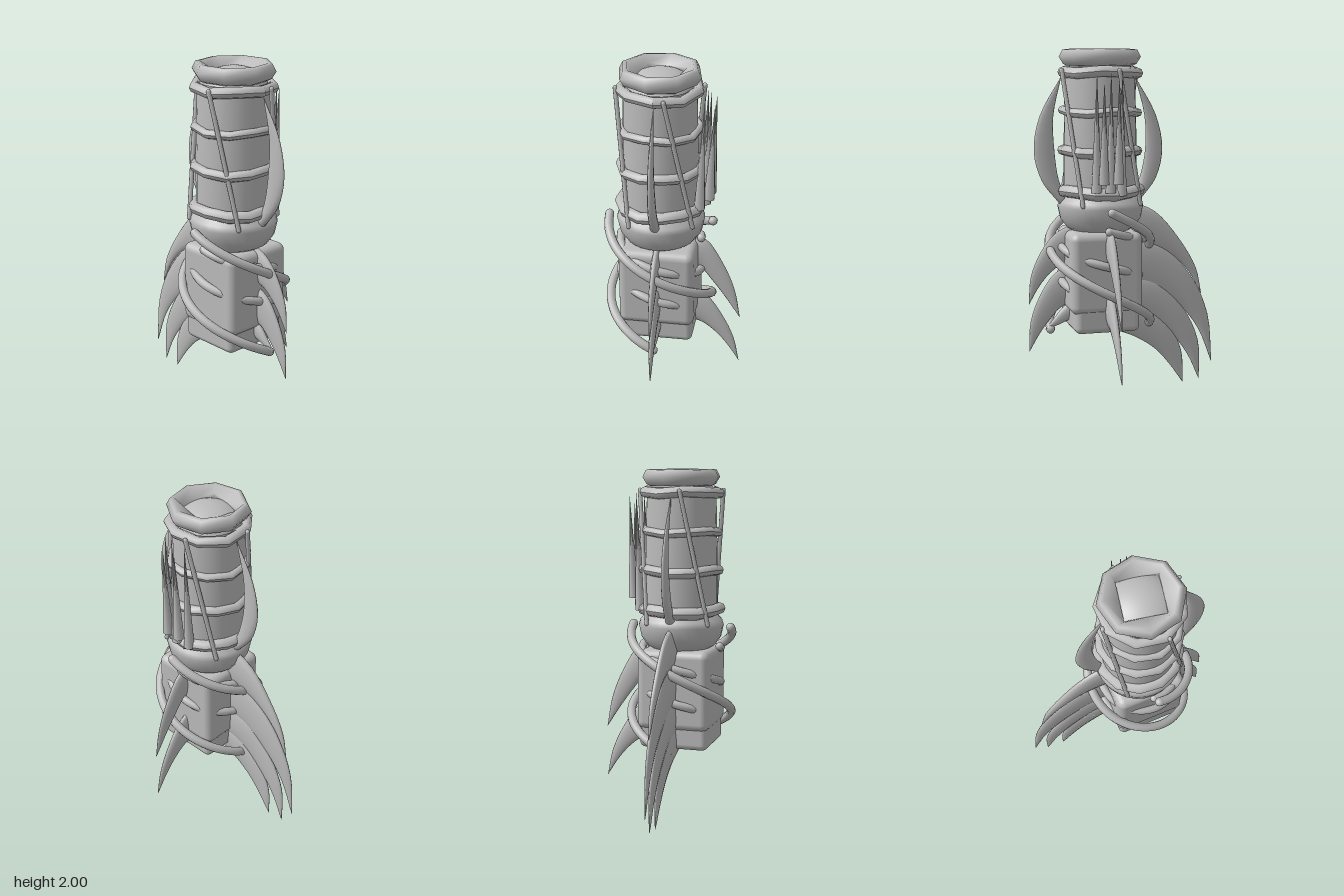
import * as THREE from 'three';
import { RoundedBoxGeometry } from 'three/addons/geometries/RoundedBoxGeometry.js';

const CX = 0.135, CZ = 0.07; // axis of the body

// Skin between closed rings of points; optionally joins last ring to first
function loft(rings, joined = false) {
  const n = rings[0].length, m = rings.length, index = [];
  const p = rings.flat();
  for (let i = 0; i < (joined ? m : m - 1); i++) {
    for (let j = 0; j < n; j++) {
      const k = (j + 1) % n, r = (i + 1) % m;
      const a = i * n + j, b = i * n + k, c = r * n + k, d = r * n + j;
      index.push(a, b, c, a, c, d);
    }
  }
  if (!joined) {
    for (let j = 1; j < n - 1; j++) {
      index.push(0, j + 1, j);
      index.push((m - 1) * n, (m - 1) * n + j, (m - 1) * n + j + 1);
    }
  }
  // Turn faces outward
  let volume = 0;
  for (let i = 0; i < index.length; i += 3) {
    const [a, b, c] = [p[index[i]], p[index[i + 1]], p[index[i + 2]]];
    volume += a.dot(b.clone().cross(c));
  }
  if (volume < 0) index.reverse();
  const g = new THREE.BufferGeometry().setFromPoints(p);
  g.setIndex(index);
  g.computeVertexNormals();
  return g;
}

// Flat curved blade between an outer and an inner edge that meet at the tip
function bladeGeometry(outer, inner, thick, place) {
  const curve = (e) => new THREE.CatmullRomCurve3(e.map(([u, y]) => new THREE.Vector3(u, y, 0)));
  const co = curve(outer), ci = curve(inner), rings = [];
  for (let i = 0; i <= 16; i++) {
    const t = Math.min(i / 16, 0.995), a = co.getPoint(t), b = ci.getPoint(t), ring = [];
    for (let j = 0; j < 12; j++) {
      const q = j / 12 * Math.PI * 2, s = (1 + Math.cos(q)) / 2;
      const w = Math.sin(q) * thick * Math.pow(1 - t, 0.6);
      ring.push(place(b.x + (a.x - b.x) * s, b.y + (a.y - b.y) * s, w));
    }
    rings.push(ring);
  }
  return loft(rings);
}
const sideways = (u, y, w) => new THREE.Vector3(u, y, 0.068 + w);
const backward = (u, y, w) => new THREE.Vector3(0.13 + w, y, u);

export function createModel() {
  const model = new THREE.Group();
  const grey = new THREE.MeshStandardMaterial({ color: 0xbcbcbc });
  grey.name = 'grey';
  const add = (name, geometry, x = 0, y = 0, z = 0, parent = model) => {
    const mesh = new THREE.Mesh(geometry, grey);
    mesh.name = name;
    mesh.position.set(x, y, z);
    parent.add(mesh);
    return mesh;
  };
  const lathe = (pts, seg) => new THREE.LatheGeometry(pts.map(([r, y]) => new THREE.Vector2(r, y)), seg);

  // Trunk with a domed top, and the swelling below it
  add('trunk', lathe([[0.205, 1.1], [0.212, 1.2], [0.21, 1.5], [0.203, 1.8], [0.2, 1.9]], 28), CX, 0, CZ);
  add('dome', new THREE.SphereGeometry(0.19, 28, 14, 0, Math.PI * 2, 0, Math.PI / 2), CX, 1.86, CZ).scale.y = 0.62;
  add('swelling', lathe([[0, 0.93], [0.15, 0.95], [0.2, 0.98], [0.235, 1.03], [0.25, 1.1], [0.24, 1.13], [0.2, 1.17]], 28), CX, 0, CZ);

  // Eight-sided collar with a square opening
  const collarRings = [[0, 1.92], [0, 1.96], [0.19, 2], [0.215, 1.995], [0.235, 1.955], [0.21, 1.915], [0.19, 1.905]]
    .map(([r, y]) => Array.from({ length: 8 }, (_, j) => {
      const a = j / 8 * Math.PI * 2 - 0.59;
      const rad = r || (j % 2 ? 0.113 : 0.16);
      return new THREE.Vector3(CX + rad * Math.cos(a), y, CZ + rad * Math.sin(a));
    }));
  add('collar', loft(collarRings, true));

  // Uneven bands round the trunk
  [[1.87, 0.217, 0.031, 9], [1.645, 0.217, 0.025, 10], [1.42, 0.22, 0.03, 11], [1.19, 0.225, 0.035, 12]]
    .forEach(([y, r, tube, seg], i) => {
      const g = new THREE.TorusGeometry(r, tube, 8, seg).rotateX(Math.PI / 2).rotateY(i * 0.4);
      const p = g.attributes.position;
      for (let k = 0; k < p.count; k++) {
        const a = Math.atan2(p.getZ(k), p.getX(k));
        p.setY(k, p.getY(k) + 0.008 * Math.sin(3 * a + i));
      }
      g.computeVertexNormals();
      add('band', g, CX, y, CZ);
    });

  // Block at the bottom
  add('block', new RoundedBoxGeometry(0.42, 0.47, 0.43, 5, 0.045), CX + 0.008, 0.73, CZ);
  add('blockFoot', new RoundedBoxGeometry(0.38, 0.2, 0.41, 5, 0.035), CX + 0.005, 0.482, CZ);

  // Four slanted stays round the trunk
  const up = new THREE.Vector3(0, 1, 0);
  for (let i = 0; i < 4; i++) {
    const top = new THREE.Vector3(0.055, 1.88, 0.235).applyAxisAngle(up, i * Math.PI / 2);
    const end = new THREE.Vector3(0.2, 1.12, 0.15).applyAxisAngle(up, i * Math.PI / 2);
    add('stay', new THREE.TubeGeometry(new THREE.LineCurve3(end, top), 1, 0.013, 8), CX, 0, CZ);
    for (const e of [top, end]) add('stayEnd', new THREE.SphereGeometry(0.013, 8, 6), CX + e.x, e.y, CZ + e.z);
  }

  // Vines winding down the block; angle 0 is the front, growing towards +x
  const vine = (name, start, sweep, y0, y1, r, tube) => {
    const pts = [];
    for (let i = 0; i <= 24; i++) {
      const a = start + sweep * i / 24;
      pts.push(new THREE.Vector3(r * Math.sin(a), y0 + (y1 - y0) * i / 24, r * Math.cos(a)));
    }
    const g = new THREE.Group();
    g.name = name;
    g.position.set(CX + 0.005, 0, CZ);
    model.add(g);
    add('stem', new THREE.TubeGeometry(new THREE.CatmullRomCurve3(pts), 60, tube, 10), 0, 0, 0, g);
    for (const e of [pts[0], pts[24]]) add('stemEnd', new THREE.SphereGeometry(tube, 10, 8), e.x, e.y, e.z, g);
  };
  for (const side of [0, Math.PI]) {
    vine('outerVine', side, Math.PI * 1.5, 1.09, 0.38, 0.297, 0.026);
    vine('innerVine', side, Math.PI * 1.75, 0.975, 0.62, 0.232, 0.024);
  }

  // Crescents beside the trunk
  add('rightCrescent', bladeGeometry(
    [[-0.1, 1.12], [-0.2, 1.25], [-0.24, 1.42], [-0.2, 1.62], [-0.07, 1.85]],
    [[-0.05, 1.13], [-0.1, 1.25], [-0.135, 1.42], [-0.13, 1.62], [-0.07, 1.85]], 0.027, sideways));
  add('leftCrescent', bladeGeometry(
    [[0.38, 1.12], [0.48, 1.25], [0.525, 1.42], [0.49, 1.62], [0.36, 1.85]],
    [[0.33, 1.13], [0.38, 1.25], [0.405, 1.42], [0.41, 1.62], [0.36, 1.85]], 0.027, sideways));

  // Large sweeping fins on the right
  [
    [[[-0.05, 1.12], [-0.2, 1.05], [-0.35, 0.88], [-0.455, 0.7], [-0.49, 0.54]],
      [[-0.03, 0.86], [-0.17, 0.85], [-0.3, 0.79], [-0.41, 0.68], [-0.49, 0.54]]],
    [[[0, 0.93], [-0.22, 0.86], [-0.42, 0.66], [-0.53, 0.42], [-0.56, 0.11]],
      [[0, 0.62], [-0.16, 0.6], [-0.35, 0.48], [-0.47, 0.33], [-0.56, 0.11]]],
    [[[0, 0.7], [-0.2, 0.65], [-0.37, 0.47], [-0.47, 0.26], [-0.48, 0.01]],
      [[0, 0.45], [-0.14, 0.43], [-0.29, 0.32], [-0.4, 0.18], [-0.48, 0.01]]],
    [[[0.04, 0.54], [-0.13, 0.5], [-0.28, 0.37], [-0.365, 0.2], [-0.375, 0]],
      [[0.04, 0.35], [-0.08, 0.3], [-0.2, 0.22], [-0.29, 0.12], [-0.375, 0]]],
  ].forEach(([o, i]) => add('rightFin', bladeGeometry(o, i, 0.032, sideways)));

  // Smaller fins on the left
  [
    [[[0.3, 1], [0.41, 0.94], [0.49, 0.84], [0.55, 0.7], [0.565, 0.53]],
      [[0.3, 0.77], [0.37, 0.76], [0.44, 0.71], [0.5, 0.64], [0.565, 0.53]]],
    [[[0.3, 0.76], [0.41, 0.71], [0.5, 0.58], [0.555, 0.43], [0.565, 0.25]],
      [[0.3, 0.53], [0.37, 0.51], [0.44, 0.44], [0.5, 0.36], [0.565, 0.25]]],
    [[[0.3, 0.56], [0.37, 0.5], [0.42, 0.44], [0.47, 0.38]],
      [[0.3, 0.44], [0.35, 0.42], [0.4, 0.4], [0.47, 0.38]]],
  ].forEach(([o, i]) => add('leftFin', bladeGeometry(o, i, 0.028, sideways)));

  // Two spines on the back
  [
    [[[-0.13, 0.97], [-0.19, 0.96], [-0.29, 0.81], [-0.36, 0.64], [-0.395, 0.45]],
      [[-0.1, 0.78], [-0.16, 0.77], [-0.23, 0.69], [-0.31, 0.58], [-0.395, 0.45]]],
    [[[-0.1, 0.65], [-0.19, 0.6], [-0.29, 0.46], [-0.36, 0.31], [-0.395, 0.145]],
      [[-0.1, 0.42], [-0.17, 0.4], [-0.25, 0.34], [-0.32, 0.26], [-0.395, 0.145]]],
  ].forEach(([o, i]) => add('backSpine', bladeGeometry(o, i, 0.03, backward)));

  // Bundle of quills behind the trunk, leaning slightly back
  [[0.1, -0.21, 1.25, 1.84], [0.185, -0.21, 1.25, 1.82], [0.14, -0.185, 1.2, 1.88], [0.07, -0.16, 1.18, 1.86], [0.215, -0.16, 1.2, 1.87]]
    .forEach(([x, z, y0, y1]) => {
      const g = new THREE.ConeGeometry(0.031, y1 - y0, 7);
      const p = g.attributes.position;
      for (let k = 0; k < p.count; k++) p.setZ(k, p.getZ(k) - 0.025 * (p.getY(k) / (y1 - y0) + 0.5));
      add('quill', g, x, (y0 + y1) / 2, z);
    });

  return model;
}
